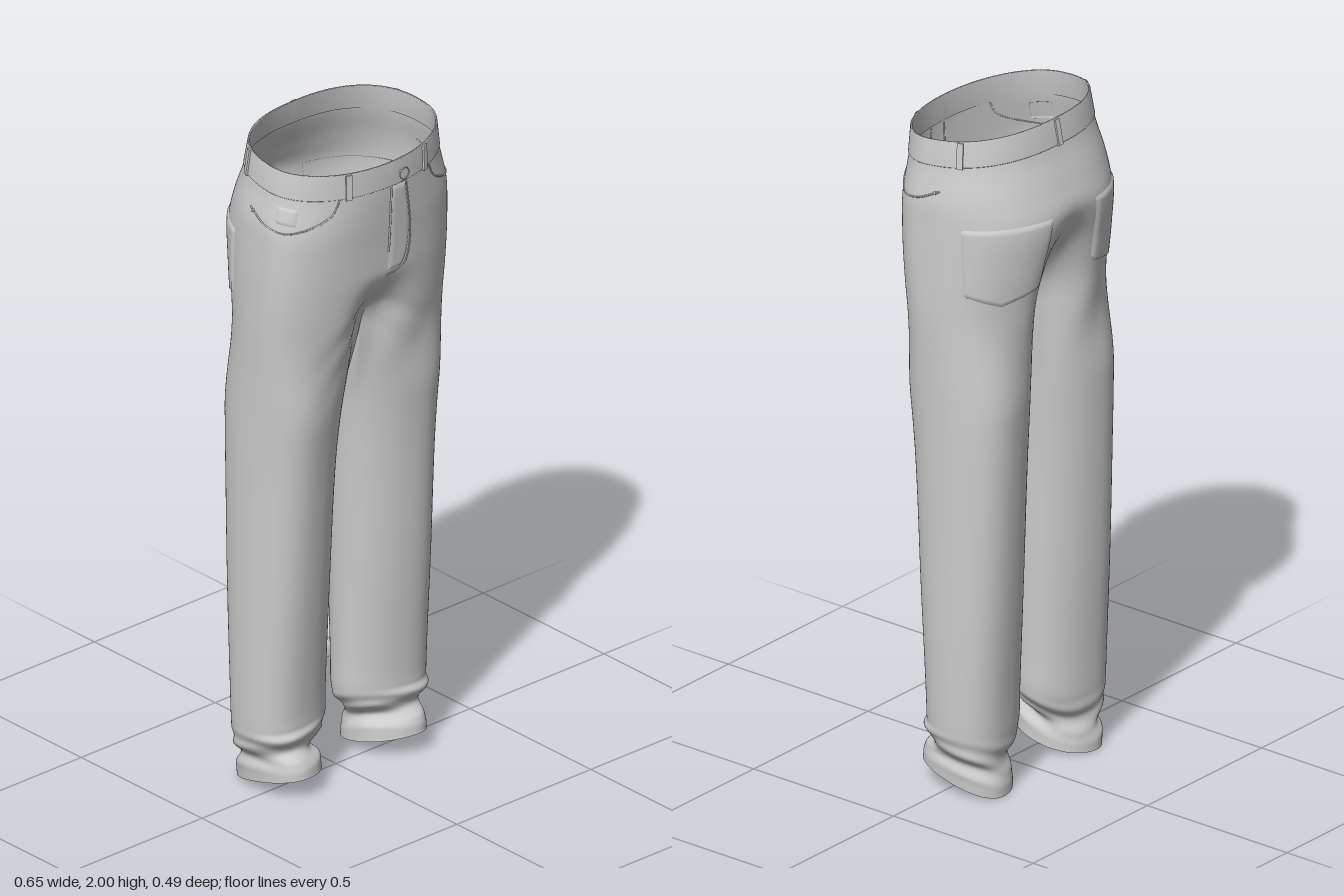
import * as THREE from 'three';
import { mergeGeometries, mergeVertices } from 'three/addons/utils/BufferGeometryUtils.js';

const { lerp, smoothstep, clamp } = THREE.MathUtils;
const material = new THREE.MeshStandardMaterial({ color: 0xcccccc, side: THREE.DoubleSide });
const CROTCH = 1.47, TOP = 1.981, BAND = 1.905;

// Height, inner leg x, outer x, front z, back z
const SECTIONS = [
  [0, 0.085, 0.283, 0.122, -0.158], [0.045, 0.088, 0.285, 0.112, -0.155],
  [0.08, 0.1, 0.282, 0.075, -0.138], [0.12, 0.065, 0.308, 0.096, -0.145],
  [0.17, 0.043, 0.315, 0.09, -0.15], [0.3, 0.04, 0.318, 0.092, -0.155],
  [0.6, 0.035, 0.32, 0.112, -0.17], [1.0, 0.025, 0.32, 0.138, -0.185],
  [1.3, 0.007, 0.322, 0.175, -0.198], [1.47, 0.004, 0.326, 0.195, -0.214],
  [1.6, 0, 0.325, 0.207, -0.237], [1.72, 0, 0.322, 0.214, -0.25],
  [1.8, 0, 0.318, 0.22, -0.225], [1.9, 0, 0.298, 0.226, -0.187],
  [2.0, 0, 0.286, 0.226, -0.166],
];

// Smooth interpolation of the section table
function section(y) {
  const S = SECTIONS, n = S.length;
  let i = 0;
  while (i < n - 2 && y > S[i + 1][0]) i++;
  const slope = (k, c) => {
    const a = S[Math.max(k - 1, 0)], b = S[Math.min(k + 1, n - 1)];
    return (b[c] - a[c]) / (b[0] - a[0]);
  };
  const h = S[i + 1][0] - S[i][0], t = clamp((y - S[i][0]) / h, 0, 1), t2 = t * t, t3 = t2 * t;
  return [1, 2, 3, 4].map((c) => (2 * t3 - 3 * t2 + 1) * S[i][c] + (t3 - 2 * t2 + t) * h * slope(i, c)
    + (3 * t2 - 2 * t3) * S[i + 1][c] + (t3 - t2) * h * slope(i + 1, c));
}

const spow = (v, n) => Math.sign(v) * Math.pow(Math.abs(v), 2 / n);

// Half of the hip outline: s = 0 centre front, 0.5 side, 1 centre back
function hipPoint(s, y, [, xo, zf, zb], zc) {
  const a = s * Math.PI, c = Math.cos(a), n = c > 0 ? lerp(2.5, 2.05, smoothstep(y, 1.72, 1.95)) : 2.4;
  const x = s <= 0 || s >= 1 ? 0 : xo * spow(Math.sin(a), n);
  const cleft = c > 0 ? 0.5 * (1 - smoothstep(y, CROTCH - 0.05, 1.62)) : 0.55 * (1 - smoothstep(y, CROTCH - 0.05, 1.77));
  const r = (c > 0 ? zf - zc : zc - zb) * (1 - cleft * Math.exp(-((x / 0.08) ** 2)));
  return [x, zc + r * spow(c, n)];
}

// Leg outline, narrower on its inner side, with bunched folds above the hem
function legPoint(a, y, [xi, xo, zf, zb], zc) {
  const cx = (xi + xo) / 2, rx = (xo - xi) / 2, c = Math.cos(a);
  const fold = 1 + 0.045 * Math.sin(y * 90 + 2 * Math.sin(2 * a + 0.6)) * smoothstep(y, 0.02, 0.07) * (1 - smoothstep(y, 0.1, 0.19));
  const sx = spow(Math.sin(a), 2.3), inward = Math.pow((1 - sx) / 2, 1.5);
  const rz = c > 0 ? (zf - zc) * (1.05 - 0.32 * inward) : (zc - zb) * (1.04 - 0.25 * inward);
  return [cx + rx * fold * sx, zc + rz * fold * spow(c, 2.3)];
}

// Left half of the cloth; inner = true gives the inside of the leg
function cloth(s, y, inner = false) {
  const sec = section(y);
  const zc = lerp((sec[2] + sec[3]) / 2, 0.045, smoothstep(y, 1.1, 1.7));
  const blend = 1 - smoothstep(y, 1.15, CROTCH);
  let hip, dip = 0, crease = 0;
  if (inner) {
    hip = [0, lerp(hipPoint(1, y, sec, zc)[1], hipPoint(0, y, sec, zc)[1], s)];
    dip = 0.06 * Math.sin(Math.PI * s) * smoothstep(y, 0.9, CROTCH);
  } else {
    hip = hipPoint(s, y, sec, zc);
    // Slanting folds that fan out from the crotch
    const fade = (s / 0.055) * Math.exp(1 - s / 0.055);
    crease = 0.006 * fade * (Math.exp(-(((y - 1.5 + 0.7 * s) / 0.025) ** 2)) + 0.7 * Math.exp(-(((y - 1.43 + 0.9 * s) / 0.025) ** 2)));
  }
  const a = inner ? lerp(240, 300, s) : lerp(-60, 240, s);
  const leg = legPoint(a * Math.PI / 180, y, sec, zc);
  const x = lerp(hip[0], leg[0], blend), z = lerp(hip[1], leg[1], blend) - crease;
  // Waist slopes up to the back, hem slopes up to the front
  const tilt = -0.105 * z * smoothstep(y, 1.5, 1.95) + 0.25 * (z + 0.158) * (1 - smoothstep(y, 0.1, 0.3));
  return new THREE.Vector3(x, y - dip + tilt, z);
}

function normalAt(s, y) {
  const e = 0.004;
  const du = cloth(Math.min(s + e, 1), y).sub(cloth(Math.max(s - e, 0), y));
  const dv = cloth(s, y - e).sub(cloth(s, y + e));
  const n = dv.cross(du).normalize();
  if (y >= CROTCH && (s <= 0 || s >= 1)) n.setX(0).normalize();
  return n;
}
const lift = (s, y, d) => cloth(s, y).addScaledVector(normalAt(s, y), d);

// Grid surface; side = -1 builds its mirror image
function grid(fn, nu, nv, side = 1) {
  const pos = [], idx = [];
  for (let j = 0; j <= nv; j++) for (let i = 0; i <= nu; i++) {
    const p = fn(i / nu, j / nv);
    pos.push(p.x * side, p.y, p.z);
  }
  for (let j = 0; j < nv; j++) for (let i = 0; i < nu; i++) {
    const a = j * (nu + 1) + i, b = a + 1, c = a + nu + 1, d = c + 1;
    if (side > 0) idx.push(a, c, b, b, c, d);
    else idx.push(a, b, c, b, d, c);
  }
  const g = new THREE.BufferGeometry();
  g.setAttribute('position', new THREE.Float32BufferAttribute(pos, 3));
  g.setIndex(idx);
  g.computeVertexNormals();
  return g;
}

function weld(list) {
  list.forEach((g) => g.deleteAttribute('normal'));
  const g = mergeVertices(mergeGeometries(list), 1e-4);
  g.computeVertexNormals();
  return g;
}

export function createModel() {
  const model = new THREE.Group();
  model.name = 'trousers';
  const add = (name, geometry) => {
    const m = new THREE.Mesh(geometry, material);
    m.name = name;
    model.add(m);
    return m;
  };
  // Raised cloth patch, tucked in at its border
  const patch = (name, side, at, d, nu, nv) => add(name, grid((u, v) => {
    const edge = u === 0 || u === 1 || v === 0 || v === 1;
    return lift(...at(u, v), edge ? -0.002 : d);
  }, nu, nv, side));
  // Thin stitched line through [s, y] points
  const seam = (name, side, points, r) => {
    const curve = new THREE.CatmullRomCurve3(points.map(([s, y]) => {
      const p = lift(s, y, 0.001);
      return p.setX(p.x * side);
    }));
    add(name, new THREE.TubeGeometry(curve, 40, r, 6));
  };
  // Places a small part on the surface, facing outwards
  const place = (mesh, side, s, y, d) => {
    const p = lift(s, y, d), n = normalAt(s, y);
    p.x *= side;
    n.x *= side;
    mesh.position.copy(p);
    mesh.lookAt(p.clone().add(n));
  };

  // Hips and both legs as one welded cloth
  const lowY = (v) => CROTCH * Math.pow(1 - v, 1.5);
  const body = [];
  for (const side of [1, -1]) {
    body.push(grid((u, v) => cloth(u, lerp(1.96, CROTCH, v)), 64, 40, side));
    body.push(grid((u, v) => cloth(u, lowY(v)), 64, 130, side));
    body.push(grid((u, v) => cloth(u, lowY(v), true), 20, 130, side));
  }
  add('hipsAndLegs', weld(body));

  // Waistband, slightly thicker than the cloth
  const profile = [[BAND, -0.003], [TOP, -0.003], [TOP + 0.001, 0], [TOP, 0.003], [BAND + 0.002, 0.003], [BAND, 0.001], [BAND, -0.003]];
  add('waistband', weld([1, -1].map((side) => grid((u, v) => {
    const [y, d] = profile[Math.round(v * (profile.length - 1))];
    return lift(u, y, d);
  }, 64, profile.length - 1, side))));

  for (const side of [1, -1]) {
    // Back pockets with a pointed lower edge
    patch('backPocket', side, (u, v) => {
      const bottom = 1.535 - 0.035 * (1 - Math.abs(2 * u - 1));
      return [0.772 + lerp(0.16, 0.14, v) * (2 * u - 1), lerp(1.735, bottom, v)];
    }, 0.005, 28, 24);
    // Curved front pocket openings
    seam('frontPocketEdge', side, [[0.18, 1.905], [0.2, 1.86], [0.27, 1.825], [0.38, 1.803], [0.48, 1.808], [0.55, 1.835]], 0.0025);
    const rivet = add('rivet', new THREE.CylinderGeometry(0.005, 0.005, 0.006, 12).rotateX(Math.PI / 2));
    place(rivet, side, 0.535, 1.83, 0.003);
  }
  // Small inset pocket on the right hip
  patch('coinPocket', -1, (u, v) => [lerp(0.33, 0.44, u), lerp(1.88, 1.825, v)], 0.003, 8, 8);

  // Fly flap, its opening and curved stitching
  patch('flyFlap', 1, (u, v) => [0.06 * u * Math.sqrt(1 - 0.9 * Math.pow(v, 8)), lerp(1.905, 1.61, v)], 0.003, 8, 30);
  seam('flyOpening', 1, [[0.002, 1.9], [0.002, 1.83], [0.002, 1.75], [0.002, 1.68]], 0.003);
  seam('flyStitch', 1, [[0.06, 1.9], [0.06, 1.75], [0.058, 1.66], [0.045, 1.62], [0.02, 1.605], [0.002, 1.6]], 0.002);

  // Belt loops: centre back, and mirrored pairs at the sides and front
  for (const [s, side] of [[1, 1], [0.625, 1], [0.625, -1], [0.155, 1], [0.155, -1]]) {
    const loop = add('beltLoop', new THREE.BoxGeometry(0.018, 0.076, 0.007));
    place(loop, side, s, (TOP + BAND) / 2 - 0.003, 0.005);
  }

  // Waist button: stem, disc and rim
  const button = new THREE.Group();
  button.name = 'button';
  const stem = new THREE.CylinderGeometry(0.005, 0.005, 0.018, 12).rotateX(Math.PI / 2).translate(0, 0, -0.009);
  const disc = new THREE.CylinderGeometry(0.017, 0.017, 0.003, 24).rotateX(Math.PI / 2);
  const rim = new THREE.TorusGeometry(0.017, 0.002, 8, 24).translate(0, 0, 0.001);
  for (const [name, g] of [['buttonStem', stem], ['buttonDisc', disc], ['buttonRim', rim]]) {
    const m = new THREE.Mesh(g, material);
    m.name = name;
    button.add(m);
  }
  place(button, 1, 0.035, 1.941, 0.018);
  model.add(button);
  return model;
}
